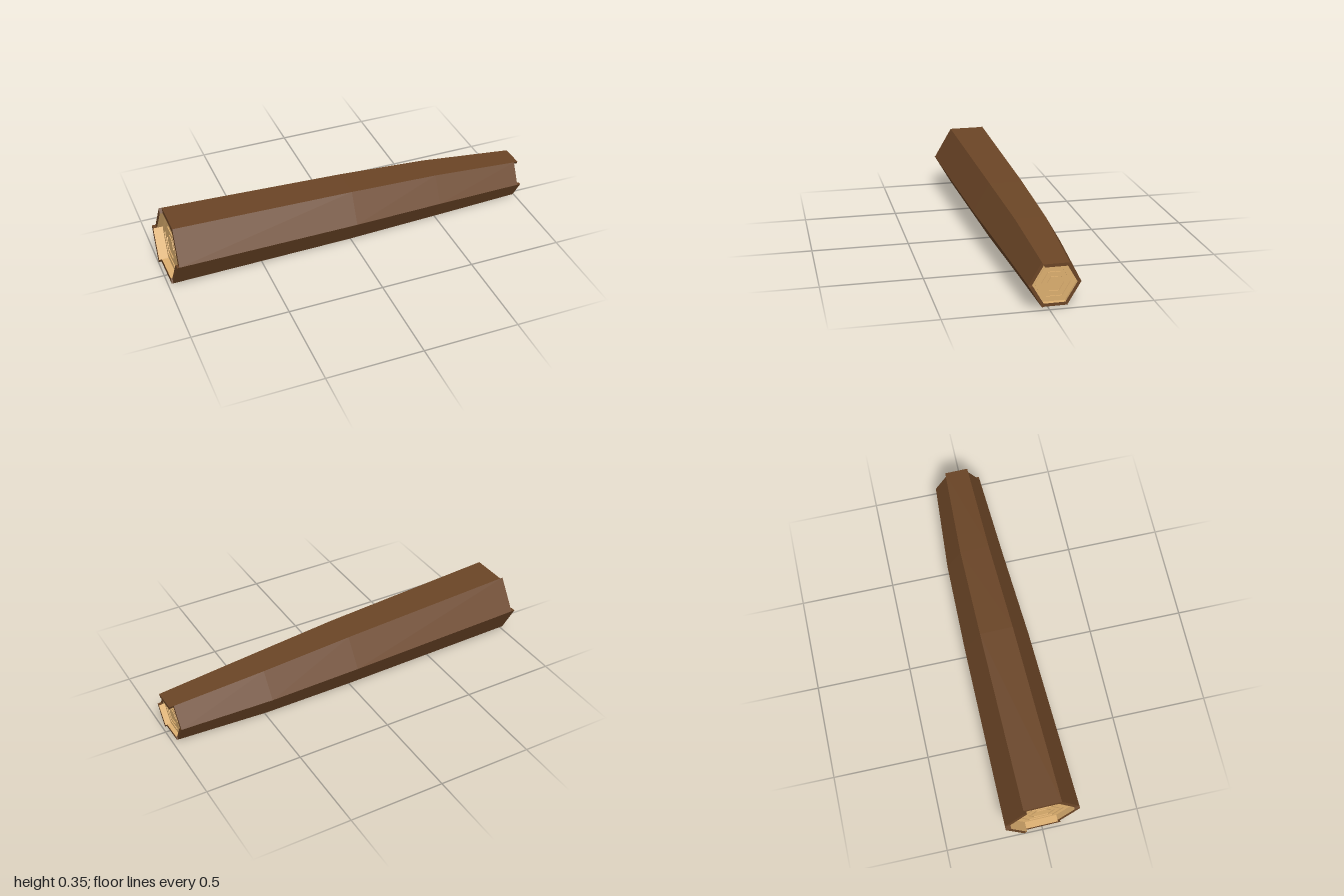
import * as THREE from 'three';

// Centre line and radius of the tapering, slightly bent hexagonal log
const STATIONS = [
  { x: -0.97, y: 0.187, z: 0, r: 0.194 },
  { x: 0, y: 0.155, z: -0.021, r: 0.174 },
  { x: 0.49, y: 0.137, z: -0.033, r: 0.155 },
  { x: 0.98, y: 0.119, z: -0.03, r: 0.125 },
];
const INNER = 0.855; // inside of the bark as a fraction of its radius
const TILT_Y = 0.035, TILT_Z = 0.015; // ends are cut square to the leaning axis

function sectionAt(x) {
  const i = x < 0 ? 0 : x < 0.49 ? 1 : 2;
  const a = STATIONS[i], b = STATIONS[i + 1];
  const t = (x - a.x) / (b.x - a.x);
  const mix = (k) => a[k] + (b[k] - a[k]) * t;
  return { x, y: mix('y'), z: mix('z'), r: mix('r') };
}

// Corner k of the hexagon at x
function corner(x, k, scale) {
  const s = sectionAt(x), a = (k * Math.PI) / 3;
  const dy = s.r * scale * Math.sin(a), dz = s.r * scale * Math.cos(a);
  return [x + TILT_Y * dy + TILT_Z * dz, s.y + dy, s.z + dz];
}

function quadMesh(name, quads, material) {
  const pos = [];
  for (const [a, b, c, d] of quads) pos.push(...a, ...b, ...c, ...a, ...c, ...d);
  const geo = new THREE.BufferGeometry();
  geo.setAttribute('position', new THREE.Float32BufferAttribute(pos, 3));
  geo.computeVertexNormals();
  const mesh = new THREE.Mesh(geo, material);
  mesh.name = name;
  return mesh;
}

export function createModel() {
  const bark = new THREE.MeshStandardMaterial({ color: 0x6b4526, flatShading: true });
  const wood = new THREE.MeshStandardMaterial({ color: 0xdeb070, flatShading: true });
  const group = new THREE.Group();
  group.name = 'log';

  // Six mitred bark strips, each ending at its own uneven length
  const strips = [
    ['upperFrontBark', -0.96, 0.973],
    ['topBark', -0.96, 0.996],
    ['upperBackBark', -0.975, 0.973],
    ['lowerBackBark', -0.995, 0.975],
    ['bottomBark', -0.98, 0.982],
    ['lowerFrontBark', -0.972, 0.992],
  ];
  strips.forEach(([name, start, end], k) => {
    const rings = [start, 0, 0.49, end].map((x) => [
      corner(x, k, 1), corner(x, k + 1, 1), corner(x, k + 1, INNER), corner(x, k, INNER),
    ]);
    const outside = [rings[0], [...rings[3]].reverse()], inside = [];
    for (let i = 0; i < 3; i++) {
      for (let j = 0; j < 4; j++) {
        const n = (j + 1) % 4;
        const quad = [rings[i][j], rings[i + 1][j], rings[i + 1][n], rings[i][n]];
        (j === 2 ? inside : outside).push(quad);
      }
    }
    group.add(quadMesh(name, outside, bark));
    group.add(quadMesh(name + 'Inside', inside, wood));
  });

  // Cut ends: growth rings as shallow hexagonal steps
  const steps = [1, 0.86, 0.71, 0.57, 0.43, 0.31];
  for (const [name, x, side] of [['largeCutEnd', -0.945, -1], ['smallCutEnd', 0.96, 1]]) {
    const s = sectionAt(x), radius = s.r * INNER;
    const profile = [];
    steps.forEach((f, i) => {
      const h = i % 2 ? 0.005 : 0;
      profile.push(new THREE.Vector2(radius * f, h));
      profile.push(new THREE.Vector2(radius * (steps[i + 1] ?? 0), h));
    });
    const geo = new THREE.LatheGeometry(profile, 6);
    geo.rotateZ((-side * Math.PI) / 2);
    const end = new THREE.Mesh(geo, wood);
    end.name = name;
    end.position.set(x, s.y, s.z);
    end.rotation.set(0, TILT_Z, -TILT_Y);
    group.add(end);
  }
  return group;
}
